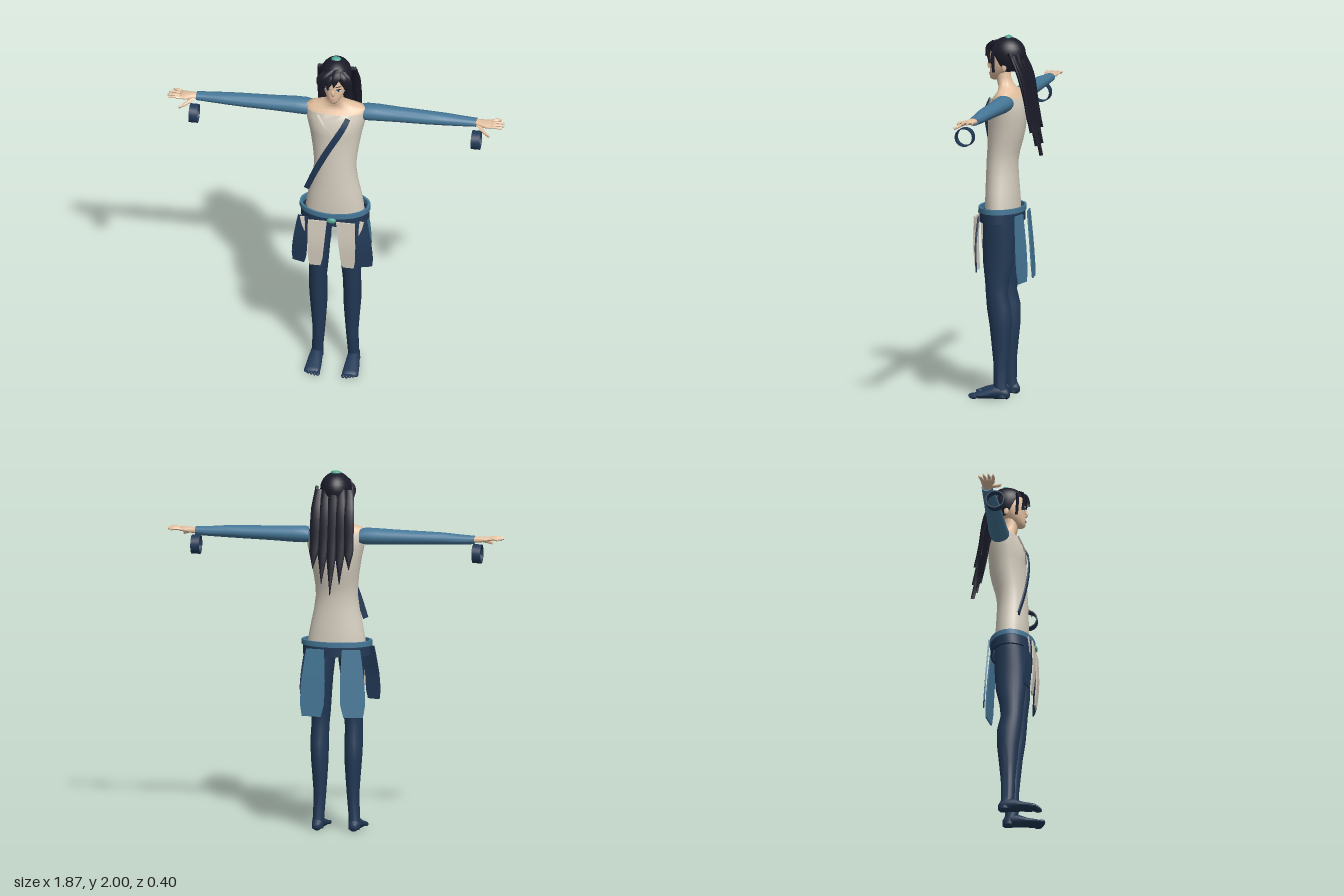
import * as THREE from 'three';
import { toCreasedNormals } from 'three/addons/utils/BufferGeometryUtils.js';

const paint = (name, color) => Object.assign(new THREE.MeshStandardMaterial({ color }), { name });
const V = (p) => new THREE.Vector3(...p);

// Skin a list of closed rings (counterclockwise around the direction of travel), with capped ends.
function skin(rings, crease) {
  const n = rings[0].length, pos = [], idx = [];
  rings.forEach((r) => r.forEach((p) => pos.push(p.x, p.y, p.z)));
  for (let i = 0; i < rings.length - 1; i++) {
    for (let j = 0; j < n; j++) {
      const a = i * n + j, b = i * n + (j + 1) % n;
      idx.push(a, b, b + n, a, b + n, a + n);
    }
  }
  const last = (rings.length - 1) * n;
  for (let j = 1; j < n - 1; j++) idx.push(0, j + 1, j, last, last + j, last + j + 1);
  const g = new THREE.BufferGeometry();
  g.setAttribute('position', new THREE.Float32BufferAttribute(pos, 3));
  g.setIndex(idx);
  return toCreasedNormals(g, crease);
}

// Elliptical loft along axis 0/1/2; rows are [w, cu, cv, ru, rv] with u and v the next axes in cyclic order.
function loft(axis, rows, bump) {
  const n = 24;
  return skin(rows.map(([w, cu, cv, ru, rv]) => Array.from({ length: n }, (_, j) => {
    const a = (j / n) * Math.PI * 2, p = [0, 0, 0];
    p[axis] = w;
    p[(axis + 1) % 3] = cu + ru * Math.cos(a);
    p[(axis + 2) % 3] = cv + rv * Math.sin(a);
    const v = V(p);
    if (bump) bump(v);
    return v;
  })), 1.2);
}

const FLAT = [[1, 1], [-1, 1], [-1, -1], [1, -1]];
const LENS = [[1, 0], [0.6, 0.8], [0, 1], [-0.6, 0.8], [-1, 0], [-0.6, -0.8], [0, -1], [0.6, -0.8]];

// Sweep a section along a curve; widths are half widths spread evenly from start to end.
function sweep(pts, widths, thick, section = LENS, side = [1, 0, 0]) {
  const curve = new THREE.CatmullRomCurve3(pts.map(V)), steps = 12, U = V(side).normalize(), rings = [];
  for (let i = 0; i <= steps; i++) {
    const s = i / steps, f = s * (widths.length - 1), k = Math.min(Math.floor(f), widths.length - 2);
    const w = THREE.MathUtils.lerp(widths[k], widths[k + 1], f - k);
    const c = curve.getPoint(s), N = curve.getTangent(s).cross(U).normalize();
    rings.push(section.map(([u, v]) => c.clone().addScaledVector(U, u * w).addScaledVector(N, v * thick)));
  }
  return skin(rings, section === FLAT ? 0.6 : 1.0);
}

// Mirror a geometry across x = 0, keeping its faces outward.
function mirrored(geo) {
  const g = geo.clone().scale(-1, 1, 1);
  const idx = g.index ? [...g.index.array] : Array.from({ length: g.attributes.position.count }, (_, i) => i);
  g.setIndex(idx.reverse());
  return g;
}

const ellipsoid = (c, r) => new THREE.SphereGeometry(1, 20, 14).scale(...r).translate(...c);

// Elliptical band around the hips.
function band(r, y0, y1) {
  const pts = [[r, y0], [r, y1], [r - 0.015, y1], [r - 0.015, y0], [r, y0]].map((p) => new THREE.Vector2(...p));
  return toCreasedNormals(new THREE.LatheGeometry(pts, 40).scale(1, 1, 0.64).translate(0, 0, 0.025), 0.6);
}

// Hair dome whose lower edge is high over the face and low at the nape.
function hairCap() {
  const nu = 36, nv = 12, pos = [], idx = [];
  for (let i = 0; i <= nv; i++) {
    for (let j = 0; j <= nu; j++) {
      const a = (j / nu) * Math.PI * 2;
      const q = THREE.MathUtils.smoothstep((1 - Math.cos(a)) / 2, 0.12, 0.5);
      const y = 1.99 - (1.99 - (1.915 - 0.11 * q)) * (1 - Math.cos((i / nv) * Math.PI / 2));
      const d = (y - 1.9) / 0.09, r = d > 0 ? Math.sqrt(Math.max(0, 1 - d * d)) : 1 - 0.3 * d * d;
      pos.push(0.086 * r * Math.sin(a), y, -0.005 + 0.1 * r * Math.cos(a));
      if (i < nv && j < nu) {
        const k = i * (nu + 1) + j, m = k + nu + 1;
        idx.push(k, m, m + 1, k, m + 1, k + 1);
      }
    }
  }
  const g = new THREE.BufferGeometry();
  g.setAttribute('position', new THREE.Float32BufferAttribute(pos, 3));
  g.setIndex(idx);
  g.computeVertexNormals();
  return g;
}

export function createModel() {
  const navy = paint('navy', 0x223956), blue = paint('blue', 0x467898), cream = paint('cream', 0xd6cec0);
  const skinTone = paint('skin', 0xe5c2a2), hair = paint('hair', 0x1b1b29), teal = paint('teal', 0x4fa592);
  const white = paint('eyeWhite', 0xece8e2), lip = paint('lip', 0xb07c68);
  hair.side = navy.side = THREE.DoubleSide;
  const model = new THREE.Group();
  const add = (name, geo, mat) => {
    const m = new THREE.Mesh(geo, mat);
    m.name = name;
    model.add(m);
  };
  const pair = (name, geo, mat) => {
    add(name + 'Left', geo, mat);
    add(name + 'Right', mirrored(geo), mat);
  };

  // Torso with a slight chest swell, bare shoulders and neck
  add('torso', loft(1, [
    [1.0, 0.02, 0, 0.09, 0.165], [1.07, 0.022, 0, 0.092, 0.158], [1.15, 0.024, 0, 0.09, 0.143],
    [1.22, 0.025, 0, 0.087, 0.128], [1.3, 0.025, 0, 0.085, 0.117], [1.36, 0.018, 0, 0.088, 0.119],
    [1.42, 0.008, 0, 0.095, 0.126], [1.48, 0, 0, 0.1, 0.136], [1.53, -0.005, 0, 0.1, 0.145],
    [1.58, -0.008, 0, 0.1, 0.157], [1.63, -0.01, 0, 0.09, 0.167], [1.662, -0.01, 0, 0.078, 0.169],
  ], (v) => {
    if (v.z > 0) v.z += 0.012 * Math.exp(-(((Math.abs(v.x) - 0.065) / 0.05) ** 2) - ((v.y - 1.57) / 0.045) ** 2);
  }), cream);
  add('shouldersAndNeck', loft(1, [
    [1.66, -0.01, 0, 0.077, 0.169], [1.683, -0.012, 0, 0.062, 0.165], [1.698, -0.01, 0, 0.052, 0.12],
    [1.713, -0.003, 0, 0.047, 0.07], [1.735, 0.008, 0, 0.043, 0.047], [1.77, 0.018, 0, 0.04, 0.042],
    [1.82, 0.022, 0, 0.04, 0.041],
  ]), skinTone);
  pair('collarEdge', sweep([[0.088, 1.66, 0.066], [0.045, 1.6, 0.095], [0, 1.535, 0.1]], [0.008, 0.008], 0.004, FLAT), cream);
  add('sash', sweep([[0.08, 1.655, 0.078], [0.05, 1.595, 0.106], [-0.03, 1.45, 0.114], [-0.1, 1.3, 0.1], [-0.15, 1.17, 0.075]],
    [0.014, 0.017, 0.017, 0.015], 0.004, FLAT, [0.9, -0.436, 0]), navy);

  // Arms, hands and hanging bangles
  pair('sleeve', loft(0, [
    [0.14, 1.644, -0.028, 0.04, 0.05], [0.17, 1.645, -0.028, 0.046, 0.053], [0.23, 1.645, -0.03, 0.045, 0.052],
    [0.35, 1.645, -0.028, 0.04, 0.047], [0.5, 1.645, -0.026, 0.036, 0.044], [0.6, 1.645, -0.026, 0.033, 0.039],
    [0.7, 1.643, -0.027, 0.027, 0.033], [0.775, 1.643, -0.027, 0.023, 0.029],
  ]), blue);
  pair('palm', loft(0, [
    [0.765, 1.645, -0.026, 0.017, 0.023], [0.8, 1.645, -0.02, 0.016, 0.03], [0.83, 1.647, -0.015, 0.014, 0.038],
    [0.86, 1.649, -0.014, 0.011, 0.038], [0.868, 1.649, -0.014, 0.006, 0.034],
  ]), skinTone);
  [[-0.044, 0.908, -0.058], [-0.024, 0.928, -0.03], [-0.003, 0.932, -0.002], [0.016, 0.922, 0.024]].forEach(([z0, x1, z1], i) =>
    pair('finger' + (i + 1), sweep([[0.85, 1.649, z0], [0.885, 1.654, (z0 + z1) / 2], [x1, 1.65, z1]],
      [0.01, 0.009, 0.008, 0.003], 0.007, LENS, [0, 0, 1]), skinTone));
  pair('thumb', sweep([[0.79, 1.642, -0.005], [0.82, 1.628, 0.032], [0.858, 1.614, 0.06]],
    [0.015, 0.011, 0.009, 0.003], 0.009, LENS, [0.8, 0, -0.6]), skinTone);
  const ring = [[0.052, -0.024], [0.052, 0.024], [0.046, 0.024], [0.046, -0.024], [0.052, -0.024]];
  pair('bangle', toCreasedNormals(new THREE.LatheGeometry(ring.map((p) => new THREE.Vector2(...p)), 32), 0.6)
    .rotateZ(Math.PI / 2).translate(0.781, 1.558, 0.02), navy);

  // Hips, legs and feet
  add('hips', loft(1, [[0.965, 0.022, 0, 0.06, 0.1], [0.985, 0.022, 0, 0.085, 0.155], [1.03, 0.022, 0, 0.093, 0.168]]), navy);
  pair('leg', loft(1, [
    [0.01, -0.005, 0.102, 0.034, 0.032], [0.08, 0.01, 0.099, 0.037, 0.031], [0.2, 0.01, 0.092, 0.04, 0.034],
    [0.3, 0.01, 0.092, 0.05, 0.041], [0.4, 0.01, 0.093, 0.06, 0.048], [0.5, 0.018, 0.095, 0.067, 0.05],
    [0.58, 0.031, 0.093, 0.061, 0.049], [0.65, 0.03, 0.09, 0.067, 0.053], [0.75, 0.025, 0.087, 0.084, 0.057],
    [0.85, 0.024, 0.086, 0.088, 0.063], [0.95, 0.022, 0.084, 0.088, 0.074], [1.0, 0.022, 0.083, 0.086, 0.078],
  ]), navy);
  pair('foot', loft(2, [
    [-0.042, 0.102, 0.025, 0.014, 0.016], [-0.03, 0.102, 0.03, 0.028, 0.03], [0.01, 0.102, 0.038, 0.034, 0.038],
    [0.05, 0.103, 0.034, 0.037, 0.034], [0.1, 0.104, 0.023, 0.042, 0.023], [0.15, 0.105, 0.016, 0.045, 0.016],
    [0.17, 0.105, 0.012, 0.042, 0.011],
  ]), navy);
  for (let i = 0; i < 5; i++) {
    pair('toe' + (i + 1), ellipsoid([0.07 + i * 0.018, 0.011, 0.174 - i * i * 0.0015], [0.0115 - i * 0.0007, 0.011, 0.022]), navy);
  }

  // Belt, buckle gem and hanging panels
  add('beltRim', band(0.195, 1.03, 1.058), blue);
  add('belt', band(0.189, 0.977, 1.031), navy);
  add('buckleGem', ellipsoid([0, 1.018, 0.15], [0.026, 0.017, 0.012]), teal);
  pair('innerPanel', sweep([[0.078, 1.01, 0.148], [0.086, 0.86, 0.152], [0.092, 0.71, 0.14]],
    [0.052, 0.05, 0.048, 0.046, 0.043, 0.04, 0.03], 0.004, FLAT), cream);
  pair('outerPanel', sweep([[0.16, 1.01, 0.117], [0.176, 0.86, 0.128], [0.186, 0.715, 0.122]],
    [0.032, 0.036, 0.039, 0.042, 0.043, 0.043, 0.034], 0.004, FLAT, [1, 0, -0.3]), navy);
  pair('backPanel', sweep([[0.1, 1.02, -0.095], [0.108, 0.85, -0.108], [0.116, 0.65, -0.12]],
    [0.05, 0.056, 0.061, 0.066, 0.068, 0.068, 0.054], 0.004, FLAT, [1, 0, 0.15]), blue);
  pair('tassel', sweep([[0.165, 1.015, 0.13], [0.158, 0.97, 0.136], [0.15, 0.93, 0.138]], [0.012, 0.009, 0.001], 0.004, FLAT), cream);

  // Head and face
  add('head', loft(1, [
    [1.752, 0.066, 0, 0.018, 0.012], [1.76, 0.06, 0, 0.034, 0.022], [1.78, 0.05, 0, 0.047, 0.038],
    [1.805, 0.035, 0, 0.06, 0.053], [1.84, 0.02, 0, 0.076, 0.066], [1.88, 0.01, 0, 0.085, 0.071],
    [1.92, 0.004, 0, 0.085, 0.071], [1.955, -0.004, 0, 0.065, 0.055], [1.975, -0.005, 0, 0.03, 0.03],
  ]), skinTone);
  add('nose', sweep([[0, 1.858, 0.094], [0, 1.83, 0.104], [0, 1.815, 0.096]], [0.004, 0.008, 0.008], 0.007), skinTone);
  add('mouth', ellipsoid([0, 1.788, 0.0975], [0.014, 0.003, 0.003]), lip);
  pair('ear', ellipsoid([0.068, 1.83, -0.002], [0.008, 0.024, 0.014]), skinTone);
  const face = (r, x, y, z) => new THREE.CircleGeometry(1, 20).scale(...r, 1).rotateY(0.5).translate(x, y, z);
  pair('eyeWhite', face([0.015, 0.008], 0.031, 1.85, 0.0905), white);
  pair('iris', face([0.0065, 0.008], 0.0305, 1.85, 0.0925), navy);
  pair('upperLash', face([0.017, 0.003], 0.031, 1.858, 0.0935), hair);
  pair('eyebrow', face([0.018, 0.0028], 0.032, 1.876, 0.0945), hair);

  // Hair dome, fringe and long tapering back locks
  add('hairCap', hairCap(), hair);
  add('hairGem', ellipsoid([0, 1.988, -0.01], [0.027, 0.012, 0.02]), teal);
  [
    [[0.03, 1.965, 0.06], [-0.01, 1.93, 0.102], [-0.03, 1.862, 0.112]],
    [[0, 1.965, 0.06], [-0.045, 1.925, 0.092], [-0.058, 1.835, 0.088]],
    [[-0.03, 1.95, 0.05], [-0.072, 1.9, 0.06], [-0.074, 1.8, 0.055]],
    [[0.02, 1.965, 0.06], [0.05, 1.925, 0.09], [0.066, 1.85, 0.078]],
    [[0.04, 1.95, 0.05], [0.072, 1.9, 0.06], [0.075, 1.8, 0.055]],
    [[0.02, 1.965, 0.07], [0.015, 1.94, 0.102], [0.006, 1.88, 0.114]],
  ].forEach((pts, i) => add('fringeLock' + (i + 1), sweep(pts, [0.02, 0.026, 0.022, 0.001], 0.008), hair));
  const tips = [[0, 1.34, -0.195], [0.05, 1.4, -0.183], [0.1, 1.48, -0.168]];
  tips.forEach(([x, y, z], i) => {
    const geo = sweep([[x * 0.85, 1.91 - i * 0.005, -0.085 + i * 0.012], [x * 0.9, 1.78, -0.115], [x * 0.95, 1.6, -0.143], [x, y, z]],
      [0.022, 0.03, 0.03, 0.026, 0.001], 0.011);
    if (i) pair('backLock' + i, geo, hair);
    else add('backLockMiddle', geo, hair);
  });
  pair('sideLock', sweep([[0.1, 1.915, -0.04], [0.094, 1.82, -0.085], [0.096, 1.7, -0.122], [0.092, 1.56, -0.148]],
    [0.008, 0.022, 0.02, 0.001], 0.012), hair);
  return model;
}
